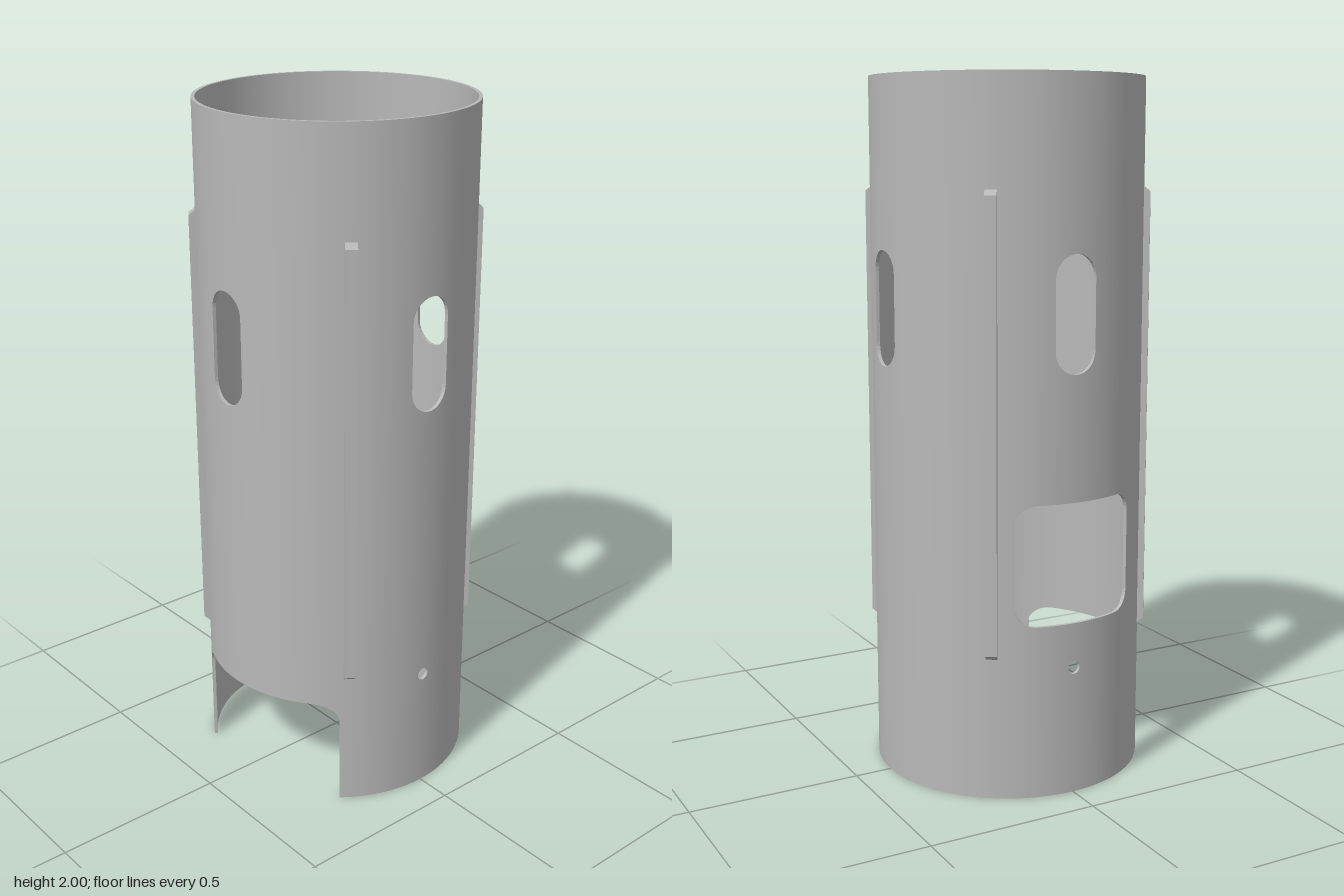
import * as THREE from 'three';

const OUTER = 0.392, INNER = 0.382, HEIGHT = 2, SEGMENTS = 96;
const QUARTER = Math.PI / 2;

// Openings: facing angle (0 = front, a quarter = +x), sideways range, height range, corner radius
const openings = [
  { facing: 0, lo: -0.205, hi: 0.305, y0: 0, y1: 0.322, r: 0.055 },            // foot cutout
  { facing: -QUARTER, lo: -0.168, hi: 0.207, y0: 0.5, y1: 0.845, r: 0.055 },   // side window
];
for (let i = -1; i <= 2; i++) {
  openings.push({ facing: i * QUARTER, lo: -0.0625, hi: 0.0625, y0: 1.2, y1: 1.525, r: 0.0625 }); // slots
}
for (const s of [-1, 1]) {
  openings.push({ facing: s * QUARTER, lo: -0.019, hi: 0.019, y0: 0.352, y1: 0.39, r: 0.019 });   // pin holes
}

const TURN = 2 * Math.PI;
const wrap = a => ((a + Math.PI) % TURN + TURN) % TURN - Math.PI;
const angleOf = (o, u) => o.facing + Math.asin(u / OUTER);

// Lower and upper edge of an opening at a given angle
function edges(o, angle) {
  const u = OUTER * Math.sin(angle - o.facing);
  const e = Math.max(0, Math.min(u - o.lo, o.hi - u));
  const inset = e < o.r ? o.r - Math.sqrt(Math.max(0, o.r ** 2 - (o.r - e) ** 2)) : 0;
  return [o.y0 === 0 ? 0 : o.y0 + inset, o.y1 - inset];
}

function isInside(o, angle) {
  const d = wrap(angle - o.facing);
  return d > Math.asin(o.lo / OUTER) && d < Math.asin(o.hi / OUTER);
}

// Angles of the wall columns: even steps plus the rounded corners of every opening
function columnAngles() {
  const all = [];
  for (let i = 0; i < SEGMENTS; i++) all.push(-Math.PI + (i / SEGMENTS) * TURN);
  for (const o of openings) {
    for (let i = 0; i <= 8; i++) {
      const d = o.r * (1 - Math.cos((i / 8) * QUARTER));
      all.push(wrap(angleOf(o, o.lo + d)), wrap(angleOf(o, o.hi - d)));
    }
  }
  all.sort((a, b) => a - b);
  const unique = all.filter((a, i) => i === 0 || a - all[i - 1] > 1e-6);
  if (Math.PI - unique[unique.length - 1] < 1e-6) unique.pop();
  unique.push(unique[0] + TURN);
  return unique;
}

function createWallGeometry() {
  const positions = [], normals = [];
  const point = (r, a, y) => new THREE.Vector3(r * Math.sin(a), y, r * Math.cos(a));

  // side: 1 = smooth outward, -1 = smooth inward, 0 = flat cut face
  function quad(p, side) {
    const flat = p[2].clone().sub(p[0]).cross(p[3].clone().sub(p[1]));
    if (flat.length() < 1e-12) return;
    flat.normalize();
    for (const i of [0, 1, 2, 0, 2, 3]) {
      const n = side ? new THREE.Vector3(p[i].x, 0, p[i].z).normalize().multiplyScalar(side) : flat;
      positions.push(p[i].x, p[i].y, p[i].z);
      normals.push(n.x, n.y, n.z);
    }
  }

  const angles = columnAngles();
  for (let i = 0; i < angles.length - 1; i++) {
    const a = angles[i], b = angles[i + 1];
    const active = openings.filter(o => isInside(o, (a + b) / 2)).sort((p, q) => p.y0 - q.y0);
    const ya = [0, ...active.flatMap(o => edges(o, a)), HEIGHT];
    const yb = [0, ...active.flatMap(o => edges(o, b)), HEIGHT];
    // Each pair of heights bounds one solid stretch of the column
    for (let k = 0; k < ya.length; k += 2) {
      const [a0, a1, b0, b1] = [ya[k], ya[k + 1], yb[k], yb[k + 1]];
      if (a1 - a0 < 1e-6 && b1 - b0 < 1e-6) continue;
      const ring = (r) => [point(r, a, a0), point(r, b, b0), point(r, b, b1), point(r, a, a1)];
      const out = ring(OUTER), inn = ring(INNER);
      quad(out, 1);
      quad([inn[1], inn[0], inn[3], inn[2]], -1);
      quad([out[3], out[2], inn[2], inn[3]], 0);
      quad([out[1], out[0], inn[0], inn[1]], 0);
    }
  }

  // Straight upright sides of the openings
  for (const o of openings) {
    for (const u of [o.lo, o.hi]) {
      const a = angleOf(o, u), [y0, y1] = edges(o, a);
      if (y1 - y0 < 1e-4) continue;
      const face = [point(OUTER, a, y0), point(INNER, a, y0), point(INNER, a, y1), point(OUTER, a, y1)];
      quad(u === o.lo ? face : face.reverse(), 0);
    }
  }

  const geometry = new THREE.BufferGeometry();
  geometry.setAttribute('position', new THREE.Float32BufferAttribute(positions, 3));
  geometry.setAttribute('normal', new THREE.Float32BufferAttribute(normals, 3));
  return geometry;
}

// Upright rib with sloped ends
function createRibGeometry() {
  const width = 0.033;
  const profile = new THREE.Shape([
    new THREE.Vector2(0.386, 0.405), new THREE.Vector2(0.41, 0.424),
    new THREE.Vector2(0.41, 1.681), new THREE.Vector2(0.386, 1.7),
  ]);
  const geometry = new THREE.ExtrudeGeometry(profile, { depth: width, bevelEnabled: false });
  geometry.translate(0, 0, -width / 2);
  return geometry;
}

export function createModel() {
  const model = new THREE.Group();
  model.name = 'slottedTube';
  const grey = new THREE.MeshStandardMaterial({ color: 0xb8b8b8 });
  grey.name = 'grey';

  const wall = new THREE.Mesh(createWallGeometry(), grey);
  wall.name = 'tubeWall';
  model.add(wall);

  const ribGeometry = createRibGeometry();
  for (let i = 0; i < 4; i++) {
    const rib = new THREE.Mesh(ribGeometry, grey);
    rib.name = 'rib' + (i + 1);
    rib.rotation.y = THREE.MathUtils.degToRad(55.2) + i * QUARTER;
    model.add(rib);
  }
  return model;
}
